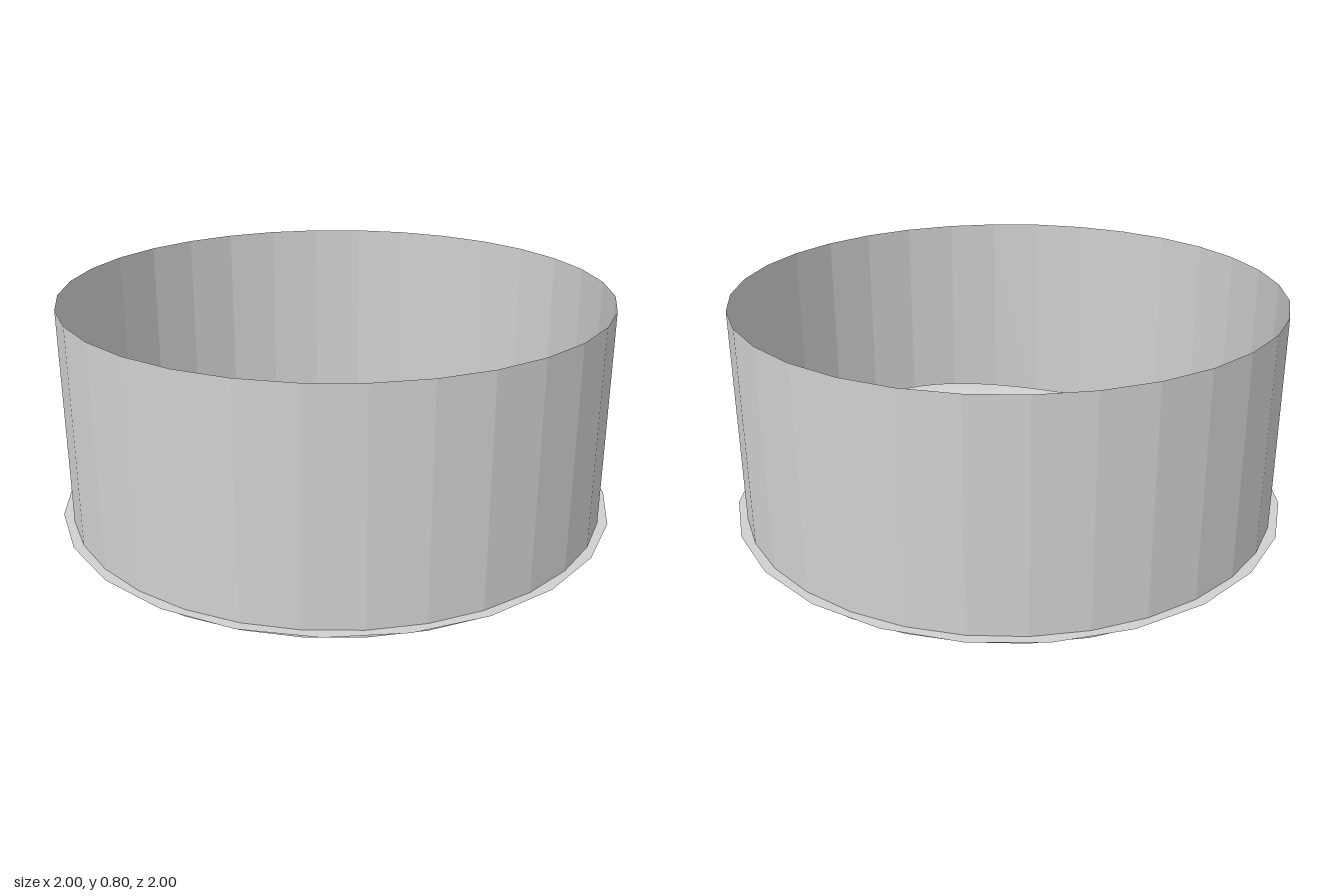
import * as THREE from 'three';
import { mergeVertices } from 'three/addons/utils/BufferGeometryUtils.js';

const GROUND = 0.025;

export function createModel() {
  const model = new THREE.Group();
  const grey = new THREE.MeshStandardMaterial({ color: 0xd0d0d0, side: THREE.DoubleSide });
  grey.name = 'paleGrey';
  const wallGrey = grey.clone();
  wallGrey.name = 'paleGreyFaceted';
  wallGrey.flatShading = true;

  const add = (name, geometry, material = grey, parent = model) => {
    const mesh = new THREE.Mesh(geometry, material);
    mesh.name = name;
    parent.add(mesh);
    return mesh;
  };

  // Open outer wall and the flat ground disc that pokes out around its foot
  add('outerWall', new THREE.CylinderGeometry(0.965, 0.965, 0.8, 32, 1, true), wallGrey).position.y = 0.4;
  add('ground', new THREE.CircleGeometry(1, 24).rotateX(-Math.PI / 2)).position.y = GROUND;

  // Hill rings: steep at the inner edge, levelling out to an open crest
  const hillRing = (name, inner, outer, height) => {
    let g = new THREE.RingGeometry(inner, outer, 96, 8).rotateX(-Math.PI / 2);
    const p = g.attributes.position;
    for (let i = 0; i < p.count; i++) {
      const x = p.getX(i), z = p.getZ(i);
      const t = (Math.hypot(x, z) - inner) / (outer - inner);
      p.setY(i, GROUND + 0.001 + height(Math.atan2(z, x)) * Math.sin(t * Math.PI / 2));
    }
    g.deleteAttribute('uv');
    g.deleteAttribute('normal');
    g = mergeVertices(g);
    g.computeVertexNormals();
    add(name, g);
  };
  const rad = THREE.MathUtils.degToRad;
  const lobe = (a, degrees, size) => size * Math.exp(5 * (Math.cos(a - rad(degrees)) - 1));
  hillRing('nearHills', 0.485, 0.64, a => Math.max(0.002, 0.025 + 0.025 * Math.cos(2 * (a - rad(25)))));
  hillRing('farHills', 0.68, 0.866, a => 0.025 + lobe(a, 205, 0.08) + lobe(a, 318, 0.06) + lobe(a, 50, 0.07));

  // Scattered boulders: x, z, radius
  const boulders = new THREE.Group();
  boulders.name = 'boulders';
  model.add(boulders);
  const ball = new THREE.SphereGeometry(1, 14, 10);
  const stone = (name, parent, x, z, rx, rz = rx * 0.85, ry = rx * 0.8, y = GROUND + ry * 0.6) => {
    const m = add(name, ball, grey, parent);
    m.position.set(x, y, z);
    m.scale.set(rx, ry, rz);
    return m;
  };
  [
    [-0.45, 0.14, 0.026], [-0.37, 0.15, 0.022], [-0.44, 0.21, 0.022], [-0.39, 0.2, 0.017],
    [-0.39, 0.22, 0.017], [0.36, 0.135, 0.028], [0.43, 0.12, 0.02], [0.39, 0.215, 0.026],
    [0.38, 0.3, 0.017], [0.19, 0.385, 0.018], [0.235, 0.37, 0.023], [0.262, 0.38, 0.024],
    [-0.155, 0.45, 0.029], [0.117, 0.473, 0.017],
  ].forEach(([x, z, r]) => stone('boulder', boulders, x, z, r));

  // Central cluster: two knobbly bushes, a few stones and an arc of pebbles
  const cluster = new THREE.Group();
  cluster.name = 'centreCluster';
  model.add(cluster);
  const bush = (x, z, rx, rz) => {
    for (let i = 0; i < 12; i++) {
      const a = i * 2.4, r = Math.sqrt(i / 12);
      stone('bushLeafClump', cluster, x + rx * r * Math.cos(a), z + rz * r * Math.sin(a),
        0.009, 0.009, 0.009, GROUND + 0.008 + 0.02 * (1 - r));
    }
  };
  bush(-0.1, 0, 0.02, 0.026);
  bush(0.11, 0, 0.027, 0.02);
  stone('roundStone', cluster, 0.088, 0.062, 0.03, 0.027);
  stone('flatStone', cluster, -0.065, 0.065, 0.026, 0.018);
  stone('flatStone', cluster, -0.09, 0.062, 0.018, 0.012);
  for (let i = 0; i < 8; i++) {
    const x = -0.075 + i * 0.017;
    stone('pebble', cluster, x, 0.1 - 4 * (x + 0.015) ** 2, 0.011, 0.007);
  }
  for (let i = 0; i < 3; i++) {
    stone('pebble', cluster, 0.095 + i * 0.016, -0.043, 0.011, 0.007);
    stone('pebble', cluster, -0.092 + i * 0.01, -0.035 - i * 0.01, 0.009, 0.006);
  }
  return model;
}
